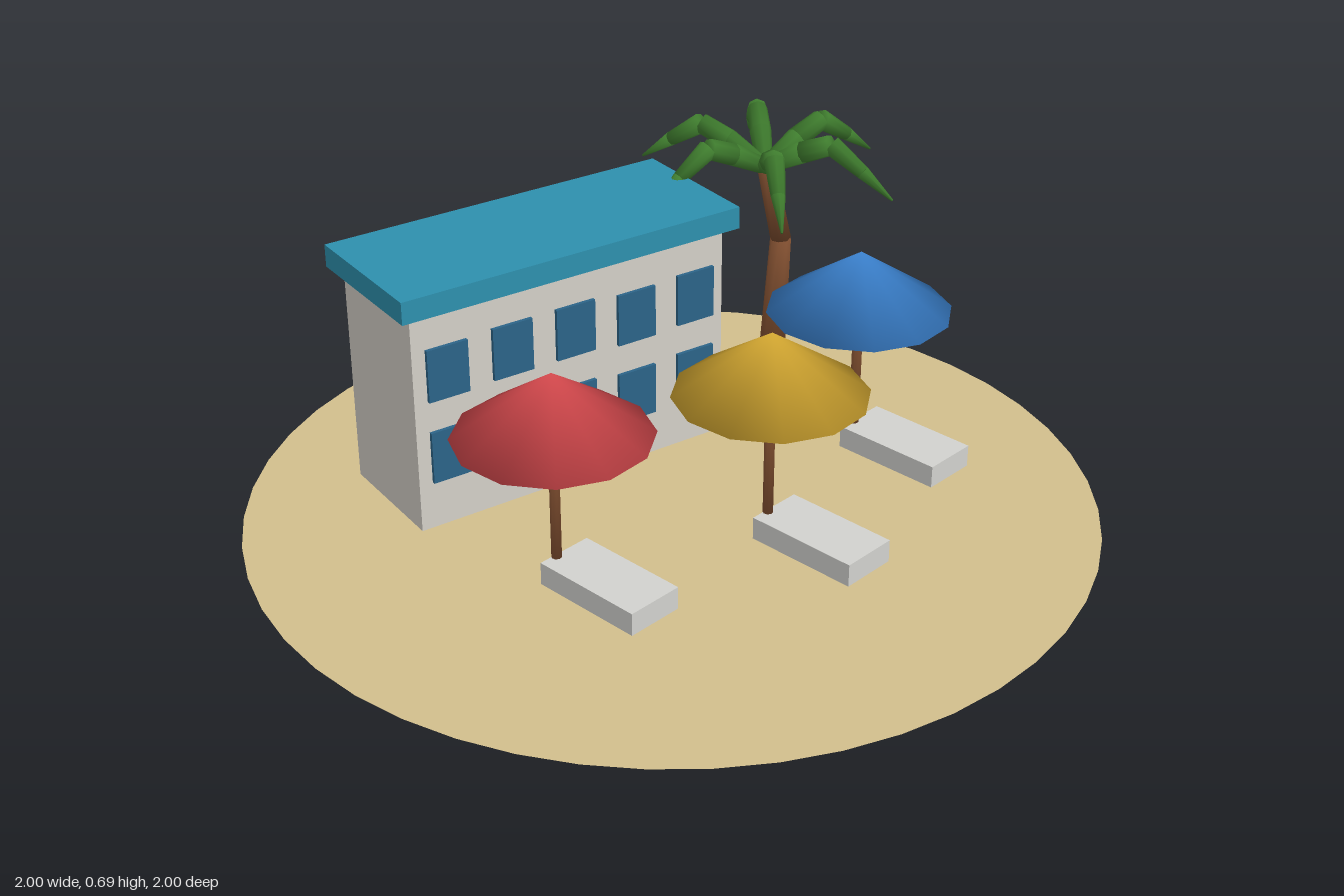
import * as THREE from 'three';
import { mergeVertices } from 'three/addons/utils/BufferGeometryUtils.js';

const material = (name, color, extra = {}) =>
  Object.assign(new THREE.MeshStandardMaterial({ color, ...extra }), { name });

const V = (x, y, z) => new THREE.Vector3(x, y, z);

// Weld all corners and give them angle-weighted smooth normals, caps included
function soften(source) {
  source.deleteAttribute('uv');
  source.deleteAttribute('normal');
  const geo = mergeVertices(source, 1e-5);
  const pos = geo.attributes.position;
  const sums = Array.from({ length: pos.count }, () => V(0, 0, 0));
  for (let i = 0; i < geo.index.count; i += 3) {
    const ids = [0, 1, 2].map((k) => geo.index.getX(i + k));
    const p = ids.map((id) => V(0, 0, 0).fromBufferAttribute(pos, id));
    const normal = p[1].clone().sub(p[0]).cross(p[2].clone().sub(p[0])).normalize();
    ids.forEach((id, k) => {
      const a = p[(k + 1) % 3].clone().sub(p[k]);
      const b = p[(k + 2) % 3].clone().sub(p[k]);
      sums[id].addScaledVector(normal, a.angleTo(b));
    });
  }
  const normals = sums.flatMap((n) => n.normalize().toArray());
  geo.setAttribute('normal', new THREE.Float32BufferAttribute(normals, 3));
  return geo;
}

function addMesh(parent, name, geo, mat, x = 0, y = 0, z = 0) {
  const mesh = new THREE.Mesh(geo, mat);
  mesh.name = name;
  mesh.position.set(x, y, z);
  parent.add(mesh);
  return mesh;
}

function addGroup(parent, name, x = 0, y = 0, z = 0) {
  const group = new THREE.Group();
  group.name = name;
  group.position.set(x, y, z);
  parent.add(group);
  return group;
}

// Chain of tapered segments through the points
function addLimb(parent, name, points, radii, sides, mat) {
  for (let i = 0; i < points.length - 1; i++) {
    const a = points[i], b = points[i + 1];
    const dir = b.clone().sub(a);
    const geo = soften(new THREE.CylinderGeometry(radii[i + 1], radii[i], dir.length(), sides));
    const mid = a.clone().add(b).multiplyScalar(0.5);
    addMesh(parent, name, geo, mat, mid.x, mid.y, mid.z)
      .quaternion.setFromUnitVectors(V(0, 1, 0), dir.normalize());
  }
}

export function createModel() {
  const sand = material('sand', 0xd2be8c, { side: THREE.DoubleSide });
  const wall = material('wall', 0xd4d0c8);
  const roof = material('roof teal', 0x2e90ae);
  const glass = material('window blue', 0x2c6488);
  const wood = material('wood brown', 0x7c4c2e);
  const leaf = material('leaf green', 0x3f7d2e);
  const lounger = material('lounger grey', 0xd2d2ce);
  const red = material('parasol red', 0xd84a4e);
  const yellow = material('parasol yellow', 0xd8ab32);
  const blue = material('parasol blue', 0x3c84d2);

  const model = new THREE.Group();
  model.name = 'beachResort';

  // Sand island
  addMesh(model, 'sandGround', new THREE.CircleGeometry(1, 48), sand).rotation.x = -Math.PI / 2;

  // Hotel block with overhanging flat roof
  const hotel = addGroup(model, 'hotel', -0.14, 0, -0.35);
  addMesh(hotel, 'walls', new THREE.BoxGeometry(0.84, 0.55, 0.31), wall, 0, 0.285, 0);
  addMesh(hotel, 'roof', new THREE.BoxGeometry(0.9, 0.055, 0.365), roof, 0, 0.585, 0);
  const pane = new THREE.BoxGeometry(0.104, 0.13, 0.009);
  const shifts = [0, 0.005, 0.005, -0.006, -0.001];
  for (const y of [0.197, 0.405]) {
    shifts.forEach((dy, i) =>
      addMesh(hotel, 'window', pane, glass, (i - 2) * 0.168, y + dy, 0.163));
  }

  // Parasols, each with a lounger beside the pole
  const canopy = soften(new THREE.ConeGeometry(0.222, 0.15, 12));
  const pole = soften(new THREE.CylinderGeometry(0.012, 0.012, 0.4, 8));
  const bed = new THREE.BoxGeometry(0.14, 0.055, 0.28);
  for (const [x, z, color] of [[-0.422, 0.168, red], [0.068, 0.283, yellow], [0.49, 0.07, blue]]) {
    const spot = addGroup(model, 'parasolSpot', x, 0, z);
    addMesh(spot, 'pole', pole, wood, 0, 0.21, 0);
    addMesh(spot, 'canopy', canopy, color, 0, 0.465, 0);
    addMesh(spot, 'lounger', bed, lounger, 0.054, 0.0575, 0.125).rotation.y = 0.2;
  }

  // Palm with a bent trunk and six drooping fronds
  const palm = addGroup(model, 'palmTree', 0.556, 0, -0.395);
  addLimb(palm, 'trunk',
    [V(0.034, 0.005, 0), V(0.056, 0.37, 0), V(0.0, 0.6, 0)], [0.035, 0.027, 0.024], 8, wood);
  for (let i = 0; i < 6; i++) {
    const frond = addGroup(palm, 'frond');
    frond.rotation.y = (i * Math.PI) / 3;
    addLimb(frond, 'frondSegment',
      [V(0, 0.58, 0), V(0.1, 0.635, 0), V(0.175, 0.667, 0), V(0.26, 0.61, 0), V(0.34, 0.55, 0)],
      [0.02, 0.028, 0.026, 0.018, 0.003], 8, leaf);
  }
  return model;
}
